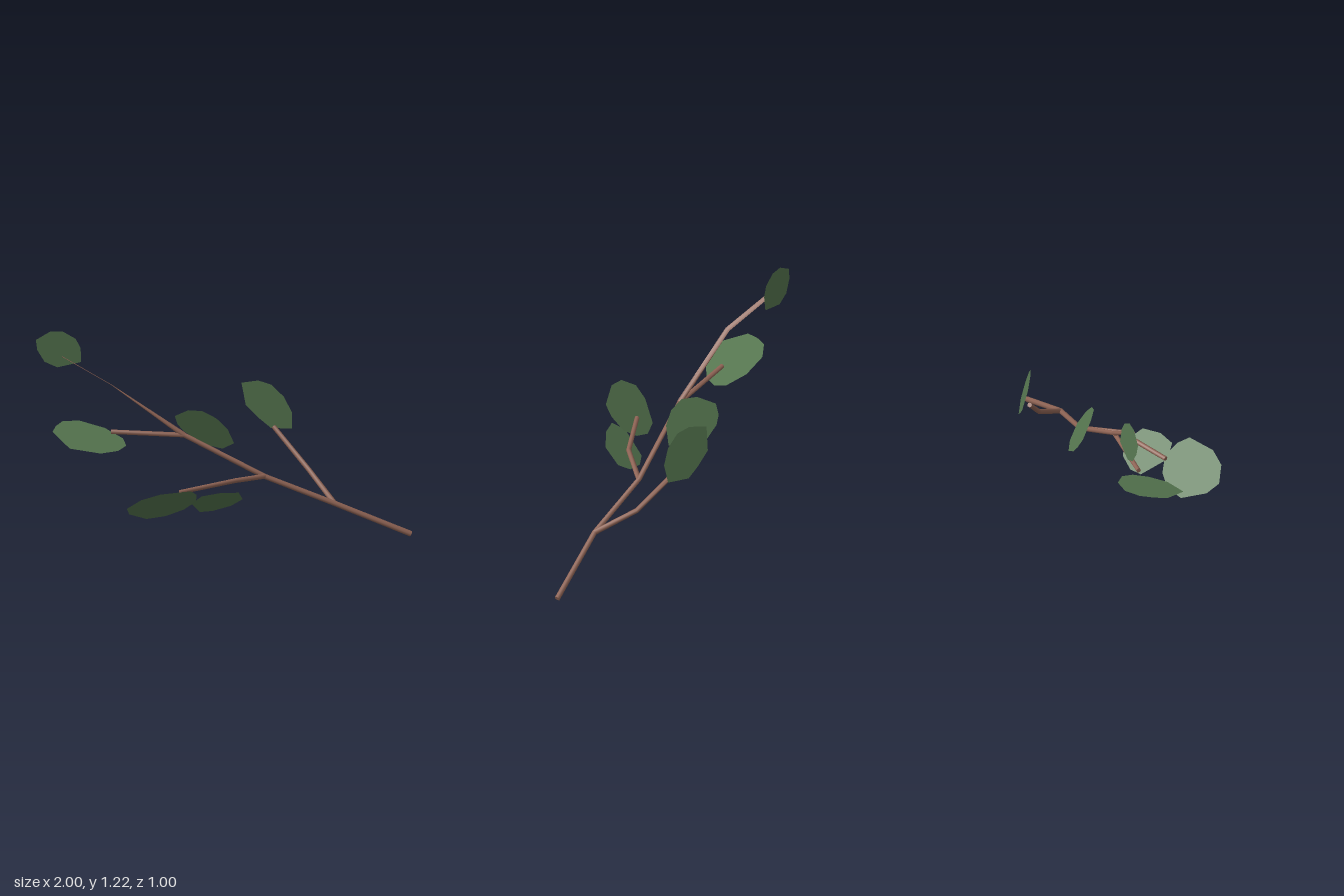
import * as THREE from 'three';
import { toCreasedNormals } from 'three/addons/utils/BufferGeometryUtils.js';

const SIDES = 8;
const Z = new THREE.Vector3(0, 0, 1);

// Mitred tube through a few points; rings after the first can be pressed flat
function branchGeometry(path, r0, r1, flat = 1) {
  const pts = path.map(p => new THREE.Vector3(...p));
  const last = pts.length - 1;
  const pos = [], index = [];
  pts.forEach((p, i) => {
    const t = new THREE.Vector3();
    if (i > 0) t.add(p.clone().sub(pts[i - 1]).normalize());
    if (i < last) t.add(pts[i + 1].clone().sub(p).normalize());
    t.normalize();
    const u = Z.clone().cross(t).normalize();
    const v = t.clone().cross(u);
    const r = r0 + (r1 - r0) * i / last;
    const press = i > 0 ? flat : 1;
    for (let k = 0; k < SIDES; k++) {
      const a = k / SIDES * Math.PI * 2;
      const q = p.clone().addScaledVector(u, Math.cos(a) * r * press).addScaledVector(v, Math.sin(a) * r);
      pos.push(q.x, q.y, q.z);
    }
  });
  const c0 = pos.length / 3, c1 = c0 + 1, end = last * SIDES;
  pos.push(...path[0], ...path[last]);
  for (let k = 0; k < SIDES; k++) {
    const n = (k + 1) % SIDES;
    for (let i = 0; i < last; i++) {
      const a = i * SIDES + k, b = i * SIDES + n;
      index.push(a, b, b + SIDES, a, b + SIDES, a + SIDES);
    }
    index.push(c0, n, k, c1, end + k, end + n);
  }
  const g = new THREE.BufferGeometry();
  g.setAttribute('position', new THREE.Float32BufferAttribute(pos, 3));
  g.setIndex(index);
  return toCreasedNormals(g, 0.9);
}

// Flat leaf: a 2D outline laid onto a tilted plane
function leafGeometry(outline, place) {
  const g = new THREE.ShapeGeometry(new THREE.Shape(outline.map(p => new THREE.Vector2(...p))));
  const p = g.attributes.position;
  for (let i = 0; i < p.count; i++) p.setXYZ(i, ...place(p.getX(i), p.getY(i)));
  g.computeVertexNormals();
  return g;
}

export function createModel() {
  const group = new THREE.Group();
  const bark = new THREE.MeshStandardMaterial({ color: 0x8f6455 });
  bark.name = 'bark';
  const green = new THREE.MeshStandardMaterial({ color: 0x55754f, side: THREE.DoubleSide });
  green.name = 'leafGreen';
  const add = (name, geometry, material) => {
    const m = new THREE.Mesh(geometry, material);
    m.name = name;
    group.add(m);
  };

  // Forks of the twig
  const root = [0.99, 0.015, 0.485], fork1 = [0.56, 0.215, 0.35];
  const fork2 = [0.19, 0.37, 0.16], fork3 = [-0.26, 0.635, 0.01];

  // Main stem and side twigs
  add('mainStem', branchGeometry([root, fork1, fork2, fork3, [-0.655, 0.65, -0.165]], 0.017, 0.014), bark);
  add('backTwig', branchGeometry([fork1, [0.49, 0.36, 0.11], [0.35, 0.58, -0.1]], 0.016, 0.014), bark);
  add('frontTwig', branchGeometry([fork2, [-0.04, 0.405, 0.27], [-0.4, 0.385, 0.295]], 0.016, 0.014), bark);
  // Top twig thins into a flat ribbon
  add('topTwig', branchGeometry([fork3, [-0.64, 0.93, -0.2], [-0.865, 1.065, -0.415]], 0.016, 0.014, 0.1), bark);

  // Leaves outlined in x, y
  const front = (a, b, c) => (x, y) => [x, y, a * x + b * y + c];
  add('topLeaf', leafGeometry([
    [-1, 1.16], [-0.925, 1.215], [-0.855, 1.215], [-0.785, 1.17], [-0.755, 1.11],
    [-0.75, 1.02], [-0.877, 0.985], [-0.947, 1.02], [-0.99, 1.095],
  ], front(0.43, 0.12, -0.205)), green);
  add('middleLeaf', leafGeometry([
    [-0.23, 0.68], [-0.187, 0.743], [-0.128, 0.755], [-0.06, 0.717], [0.005, 0.647],
    [0.057, 0.545], [0.02, 0.487], [-0.064, 0.497], [-0.166, 0.572], [-0.205, 0.62],
  ], front(1.19, 0.86, -0.527)), green);
  add('backLeaf', leafGeometry([
    [0.206, 0.823], [0.278, 0.855], [0.337, 0.84], [0.4, 0.77], [0.444, 0.674],
    [0.455, 0.562], [0.364, 0.545], [0.305, 0.6], [0.24, 0.674],
  ], front(1.083, 0.347, -0.759)), green);
  add('frontOuterLeaf', leafGeometry([
    [-0.77, 0.353], [-0.71, 0.422], [-0.6, 0.455], [-0.405, 0.45], [-0.35, 0.406],
    [-0.325, 0.337], [-0.375, 0.273], [-0.47, 0.23], [-0.59, 0.225], [-0.73, 0.294],
  ], front(0, 1.087, -0.005)), green);
  add('frontInnerLeaf', leafGeometry([
    [-0.35, 0.326], [-0.315, 0.39], [-0.203, 0.4], [-0.075, 0.38], [-0.016, 0.305],
    [-0.064, 0.25], [-0.166, 0.22], [-0.25, 0.225],
  ], front(0, 1.17, -0.028)), green);

  // Nearly level leaf outlined in x, z
  add('outerLeaf', leafGeometry([
    [-0.992, -0.25], [-0.945, -0.315], [-0.88, -0.37], [-0.77, -0.383], [-0.635, -0.315],
    [-0.56, -0.21], [-0.57, -0.134], [-0.645, -0.075], [-0.77, -0.04], [-0.95, -0.08],
  ], (x, z) => [x, 0.665 - 0.29 * (z + 0.375) - 0.16 * (x + 0.775), z]), green);

  return group;
}
